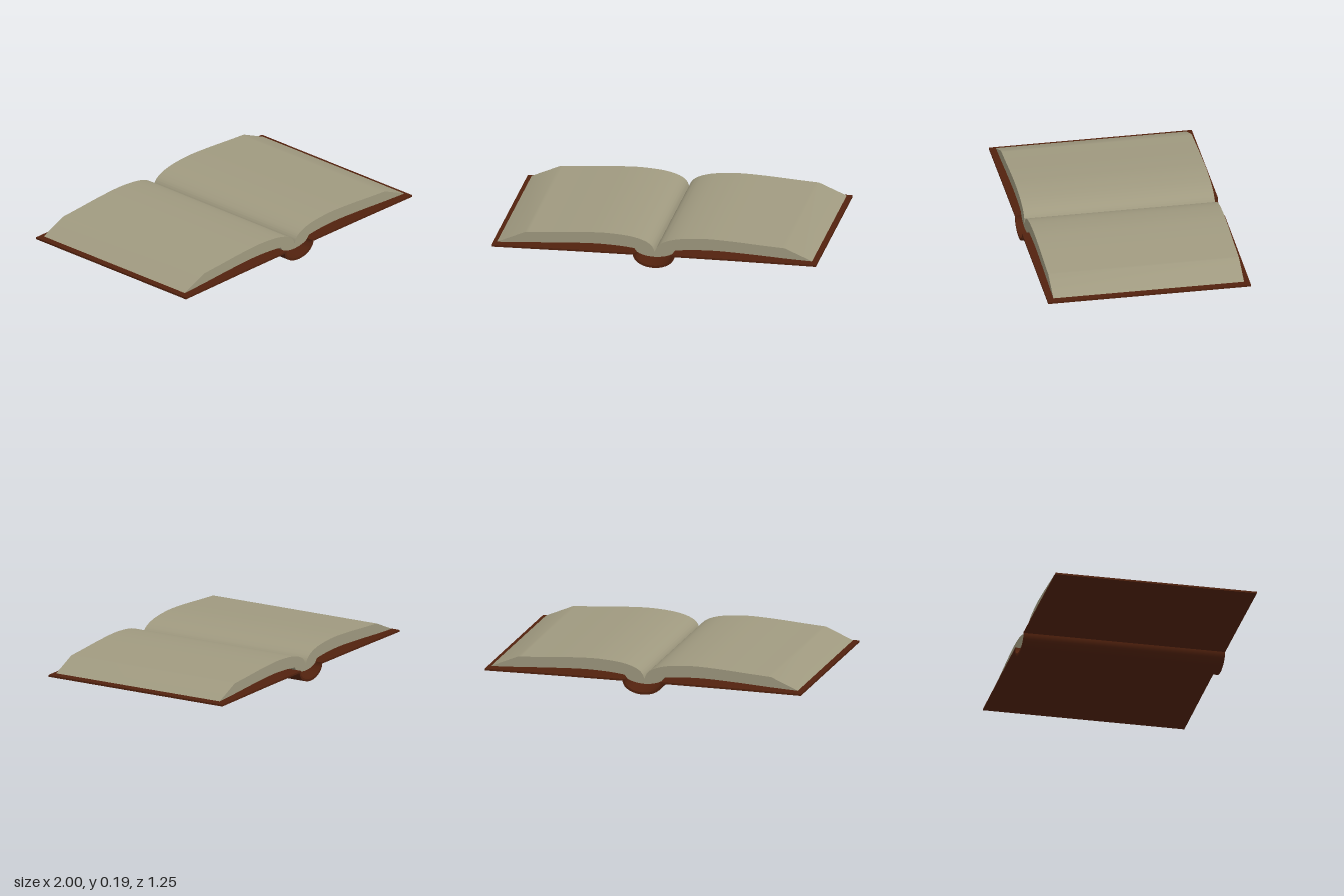
import * as THREE from 'three';
import { toCreasedNormals } from 'three/addons/utils/BufferGeometryUtils.js';

const paper = new THREE.MeshStandardMaterial({ name: 'agedPaper', color: 0xa09a80 });
const leather = new THREE.MeshStandardMaterial({ name: 'brownLeather', color: 0x52220e });

const vecs = (list) => list.map(([x, y]) => new THREE.Vector2(x, y));
const mirrored = (pts) => pts.map((p) => new THREE.Vector2(-p.x, p.y)).reverse();

// Extrude a closed front profile along z, centred, with smooth curves and sharp edges
function slab(name, pts, depth, material) {
  const geo = new THREE.ExtrudeGeometry(new THREE.Shape(pts), { depth, bevelEnabled: false });
  geo.translate(0, 0, -depth / 2);
  const mesh = new THREE.Mesh(toCreasedNormals(geo, 0.6), material);
  mesh.name = name;
  return mesh;
}

// Points of the lower half of an ellipse hanging from y, running from -x to +x
function halfEllipse(rx, ry, y, n = 20) {
  return Array.from({ length: n + 1 }, (_, i) => {
    const a = Math.PI * (1 + i / n);
    return new THREE.Vector2(rx * Math.cos(a), y + ry * Math.sin(a));
  });
}

export function createModel() {
  const book = new THREE.Group();
  book.name = 'openBook';

  // Rounded spine, an open half tube
  const outer = halfEllipse(0.127, 0.08, 0.08);
  const inner = halfEllipse(0.113, 0.066, 0.08).reverse();
  book.add(slab('spine', [...outer, ...inner], 1.25, leather));

  // Cover boards, sloping slightly down to the outer edges
  const board = vecs([[0.113, 0.077], [0.5, 0.076], [1, 0.072], [1, 0.083], [0.5, 0.087], [0.113, 0.088]]);
  book.add(slab('leftCover', board, 1.25, leather));
  book.add(slab('rightCover', mirrored(board), 1.25, leather));

  // Page blocks: arched top, bevelled fore-edge, matching underside
  const top = new THREE.SplineCurve(vecs([
    [0, 0.088], [0.012, 0.118], [0.035, 0.142], [0.08, 0.164], [0.15, 0.181],
    [0.25, 0.191], [0.35, 0.193], [0.5, 0.186], [0.65, 0.175], [0.8, 0.165],
  ])).getPoints(45);
  const under = new THREE.SplineCurve(vecs([
    [0.97, 0.092], [0.8, 0.1], [0.6, 0.112], [0.38, 0.121], [0.22, 0.116], [0.125, 0.106],
  ])).getPoints(25);
  const gutter = new THREE.SplineCurve(vecs([
    [0.108, 0.083], [0.08, 0.07], [0.04, 0.061], [0, 0.058],
  ])).getPoints(8);
  const pages = [...top, ...under, ...gutter];
  book.add(slab('leftPages', pages, 1.175, paper));
  book.add(slab('rightPages', mirrored(pages), 1.175, paper));

  return book;
}
